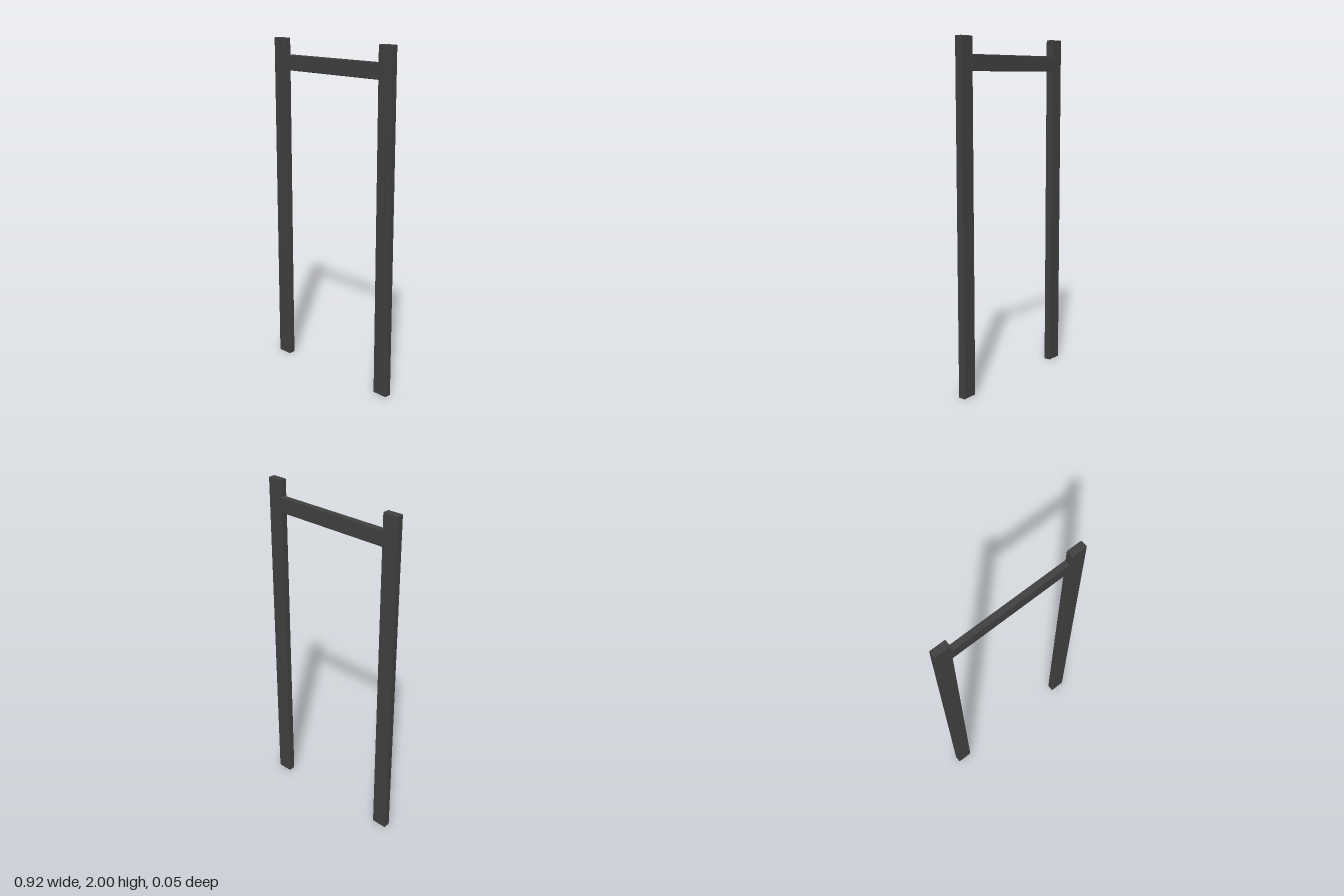
import * as THREE from 'three';
import { RoundedBoxGeometry } from 'three/addons/geometries/RoundedBoxGeometry.js';

export function createModel() {
  const group = new THREE.Group();
  const material = new THREE.MeshStandardMaterial({ color: 0x404040 });

  // Bar with softly rounded edges
  function bar(name, size, position) {
    const mesh = new THREE.Mesh(new RoundedBoxGeometry(...size, 2, 0.004), material);
    mesh.name = name;
    mesh.position.set(...position);
    group.add(mesh);
  }

  // Two upright posts
  for (const side of [-1, 1]) {
    bar(side > 0 ? 'leftPost' : 'rightPost', [0.094, 2, 0.043], [side * 0.413, 1, 0.001]);
  }

  // Crossbar let into the posts, slightly proud at the back
  bar('crossbar', [0.766, 0.09, 0.035], [0, 1.859, -0.005]);

  return group;
}
